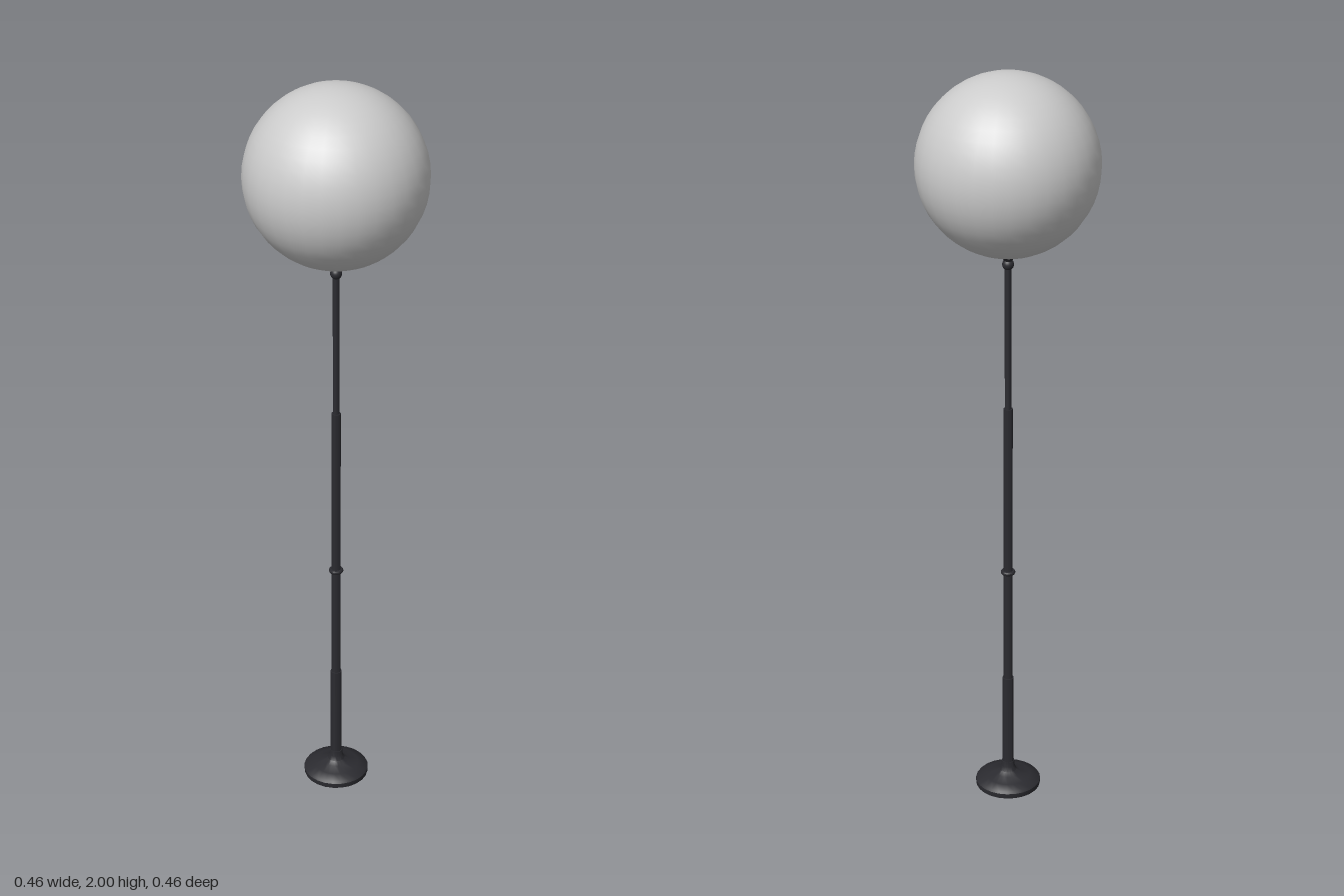
import * as THREE from 'three';
import { toCreasedNormals } from 'three/addons/utils/BufferGeometryUtils.js';

export function createModel() {
  const group = new THREE.Group();
  const metal = new THREE.MeshStandardMaterial({ color: 0x2b2b30 });
  const glass = new THREE.MeshStandardMaterial({ color: 0xcccccc });

  const add = (name, geometry, material) => {
    const mesh = new THREE.Mesh(geometry, material);
    mesh.name = name;
    group.add(mesh);
    return mesh;
  };

  // Turned part from [radius, height] pairs, bottom to top, with sharp edges kept
  const turned = (name, profile) => {
    const points = profile.map(([r, y]) => new THREE.Vector2(r, y));
    add(name, toCreasedNormals(new THREE.LatheGeometry(points, 24), 0.6), metal);
  };

  // Foot: flat disc with a shallow slope sweeping up into a neck
  turned('base', [
    [0, 0], [0.087, 0], [0.088, 0.004], [0.088, 0.014], [0.084, 0.019], [0.06, 0.027],
    [0.035, 0.035], [0.023, 0.043], [0.018, 0.055], [0.017, 0.07], [0, 0.07],
  ]);

  // Pole: three tubes, each thinner than the one below
  [
    ['lowerPole', 0.015, 0.05, 0.33],
    ['middlePole', 0.012, 0.33, 1.12],
    ['upperPole', 0.0085, 1.12, 1.53],
  ].forEach(([name, r, y0, y1]) => turned(name, [[0, y0], [r, y0], [r, y1], [0, y1]]));

  // Thin ring around the middle tube
  turned('poleRing', [
    [0.011, 0.645], [0.017, 0.645], [0.019, 0.648], [0.019, 0.652], [0.017, 0.655], [0.011, 0.655],
  ]);

  // Rounded knob and flared cup under the globe
  const knob = add('knob', new THREE.SphereGeometry(0.015, 24, 16), metal);
  knob.position.y = 1.512;
  turned('globeCup', [
    [0, 1.52], [0.01, 1.52], [0.014, 1.529], [0.024, 1.536], [0.032, 1.54], [0.032, 1.544], [0, 1.544],
  ]);

  // Globe
  const globe = add('globe', new THREE.SphereGeometry(0.23, 32, 24), glass);
  globe.position.y = 1.77;

  return group;
}
